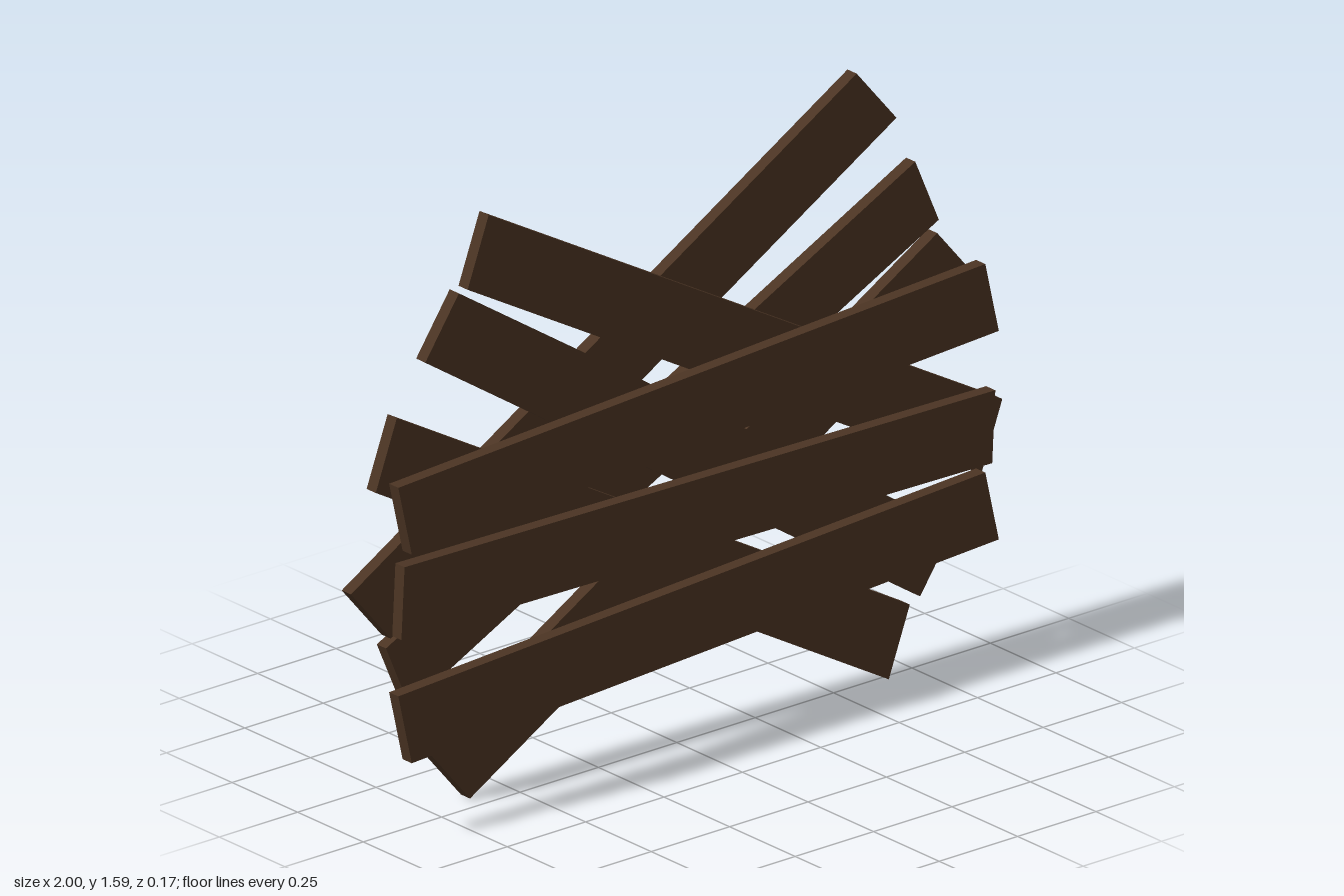
import * as THREE from 'three';

const THICKNESS = 0.035;

// Each plank: upper-left corner, run along its length, and edge down its skewed left end.
const layers = [
  {
    name: 'frontPlank', z: 0.051,
    planks: [
      { start: [-0.96, 0.955], run: [1.872, 0.1], end: [0.043, -0.188] },
      { start: [-0.94, 0.74], run: [1.884, -0.027], end: [-0.01, -0.19] },
      { start: [-0.96, 0.404], run: [1.872, 0.1], end: [0.043, -0.188] },
    ],
  },
  {
    name: 'middlePlank', z: 0.013,
    planks: [
      { start: [-0.64, 1.58], run: [1.638, -0.916], end: [-0.067, -0.18] },
      { start: [-0.735, 1.398], run: [1.578, -1.032], end: [-0.107, -0.155] },
      { start: [-0.933, 1.12], run: [1.636, -0.922], end: [-0.067, -0.18] },
    ],
  },
  {
    name: 'backPlank', z: -0.082,
    planks: [
      { start: [-1.0, 0.642], run: [1.613, 0.953], end: [0.127, -0.15] },
      { start: [-0.888, 0.47], run: [1.688, 0.843], end: [0.075, -0.173] },
      { start: [-0.747, 0.153], run: [1.617, 0.953], end: [0.127, -0.15] },
    ],
  },
];

// Skewed board extruded from a parallelogram
function plankGeometry({ start, run, end }) {
  const a = new THREE.Vector2(...start);
  const r = new THREE.Vector2(...run);
  const e = new THREE.Vector2(...end);
  const outline = [a.clone().add(e), a.clone().add(e).add(r), a.clone().add(r), a];
  return new THREE.ExtrudeGeometry(new THREE.Shape(outline), { depth: THICKNESS, bevelEnabled: false });
}

export function createModel() {
  const model = new THREE.Group();
  model.name = 'plankBarricade';
  const wood = new THREE.MeshStandardMaterial({ color: 0x4b3423 });
  wood.name = 'dark brown wood';

  // Three layers of three crossing planks
  for (const layer of layers) {
    layer.planks.forEach((plank, i) => {
      const mesh = new THREE.Mesh(plankGeometry(plank), wood);
      mesh.name = `${layer.name}${i + 1}`;
      mesh.position.z = layer.z;
      model.add(mesh);
    });
  }
  return model;
}
